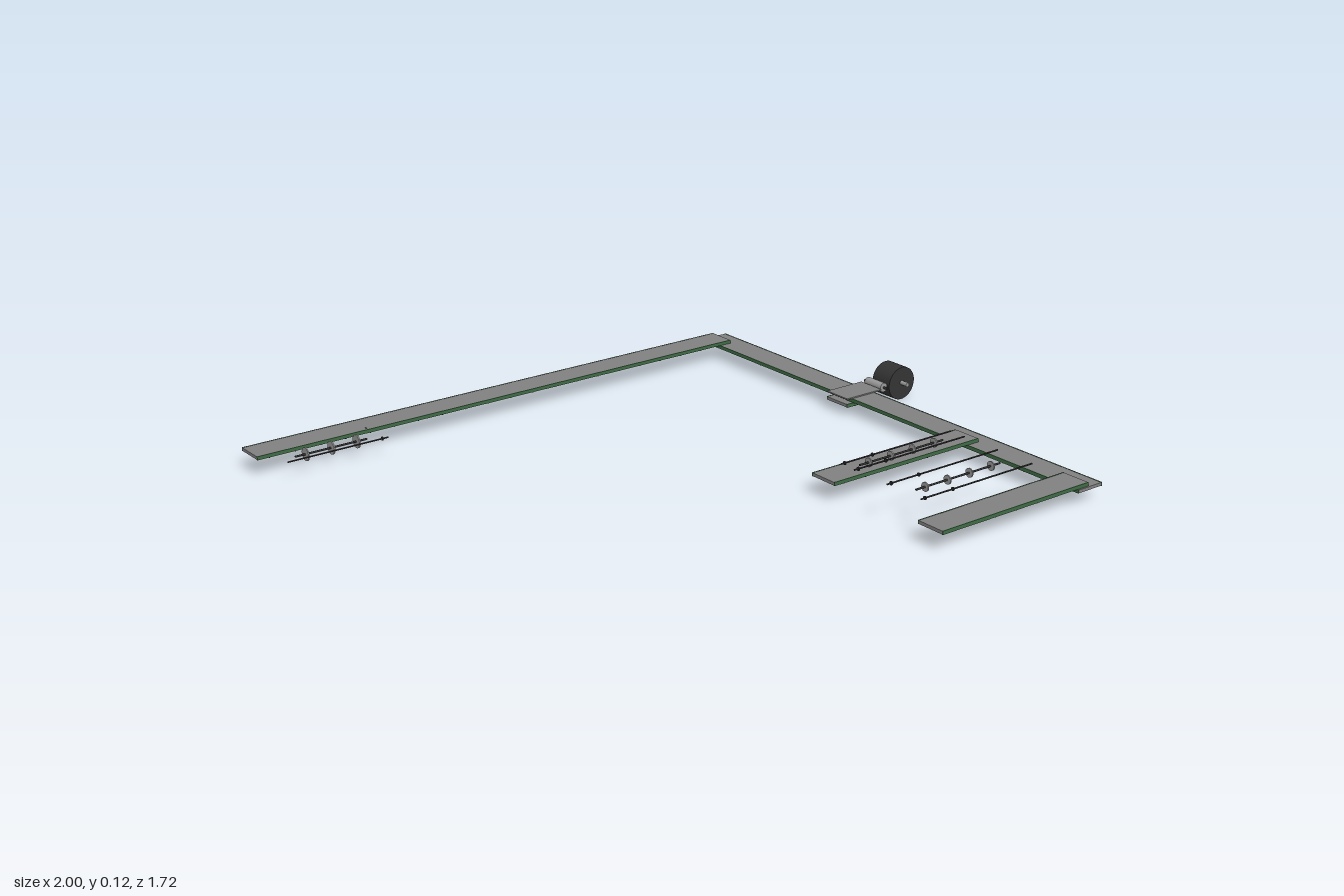
import * as THREE from 'three';

const mat = (color) => new THREE.MeshStandardMaterial({ color });

export function createModel() {
  const model = new THREE.Group();
  const beltMat = mat(0x808080), railMat = mat(0x3f6b45), dark = mat(0x333333), steel = mat(0x999999);

  const add = (parent, name, geometry, material, x, y, z) => {
    const mesh = new THREE.Mesh(geometry, material);
    mesh.name = name;
    mesh.position.set(x, y, z);
    parent.add(mesh);
    return mesh;
  };

  // Cylinder lying along 'x' or 'z'
  const rod = (parent, name, axis, r, length, material, x, y, z, sides = 16) => {
    const g = new THREE.CylinderGeometry(r, r, length, sides);
    if (axis === 'x') g.rotateZ(Math.PI / 2);
    else g.rotateX(Math.PI / 2);
    return add(parent, name, g, material, x, y, z);
  };

  // Flat conveyor with side rails and return rollers; runs along local x
  const conveyor = (name, length, width, cx, y, cz, turned = false) => {
    const g = new THREE.Group();
    g.name = name;
    add(g, 'belt', new THREE.BoxGeometry(length, 0.01, width - 0.006), beltMat, 0, 0, 0);
    for (const s of [-1, 1]) {
      add(g, 'sideRail', new THREE.BoxGeometry(length, 0.0115, 0.003), railMat, 0, 0, s * (width / 2 - 0.0015));
      rod(g, 'endRoller', 'z', 0.005, width - 0.01, dark, s * (length / 2 - 0.005), 0, 0);
    }
    const count = Math.max(2, Math.round(length / 0.086));
    for (let i = 0; i < count; i++) {
      const x = -length / 2 + ((i + 0.5) * length) / count;
      rod(g, 'returnRoller', 'z', 0.003, width - 0.008, dark, x, -0.006, 0, 8);
    }
    g.position.set(cx, y, cz);
    if (turned) g.rotation.y = Math.PI / 2;
    model.add(g);
  };

  conveyor('mainConveyor', 1.715, 0.097, 0.775, 0.046, 0, true);
  conveyor('rearConveyor', 1.77, 0.097, -0.115, 0.058, -0.811);
  conveyor('innerConveyor', 0.57, 0.097, 0.485, 0.058, 0.368);
  conveyor('frontConveyor', 0.57, 0.097, 0.485, 0.058, 0.806);
  conveyor('feedConveyor', 0.145, 0.097, 0.778, 0.032, -0.145);
  add(model, 'feedCover', new THREE.BoxGeometry(0.145, 0.004, 0.095), beltMat, 0.778, 0.054, -0.145);

  // Axle with discs, flanked by thin guide rods
  const spindle = (name, x0, x1, y, z, discs, discR, guides, gx0, gx1, gy, collars) => {
    const g = new THREE.Group();
    g.name = name;
    rod(g, 'axle', 'x', 0.003, x1 - x0, dark, (x0 + x1) / 2, y, z, 10);
    for (const x of discs) rod(g, 'disc', 'x', discR, 0.004, steel, x, y, z, 24);
    for (const gz of guides) {
      rod(g, 'guideRod', 'x', 0.0025, gx1 - gx0, dark, (gx0 + gx1) / 2, gy, gz, 8);
      for (const x of collars) rod(g, 'collar', 'x', 0.006, 0.003, dark, x, gy, gz, 12);
    }
    model.add(g);
  };

  spindle('rearSpindle', -0.9, -0.66, 0.053, -0.72, [-0.865, -0.78, -0.695], 0.021,
    [-0.778, -0.68], -0.945, -0.61, 0.059, [-0.63]);
  spindle('innerSpindle', 0.265, 0.59, 0.11, 0.447, [0.3, 0.385, 0.47, 0.555], 0.014,
    [0.418, 0.475], 0.22, 0.65, 0.115, [0.235, 0.34]);
  spindle('frontSpindle', 0.265, 0.59, 0.11, 0.678, [0.3, 0.385, 0.47, 0.555], 0.014,
    [0.61, 0.745], 0.22, 0.65, 0.115, [0.235, 0.34]);

  // Large supply drum and the small guide roller beside it
  const drum = new THREE.Group();
  drum.name = 'drum';
  rod(drum, 'drumBody', 'z', 0.054, 0.078, dark, 0.946, 0.054, -0.145, 40);
  rod(drum, 'drumAxle', 'z', 0.007, 0.135, steel, 0.946, 0.056, -0.145);
  rod(drum, 'guideRoller', 'z', 0.015, 0.075, steel, 0.87, 0.055, -0.145, 24);
  rod(drum, 'guideAxle', 'z', 0.004, 0.105, dark, 0.87, 0.055, -0.145);
  model.add(drum);

  return model;
}
